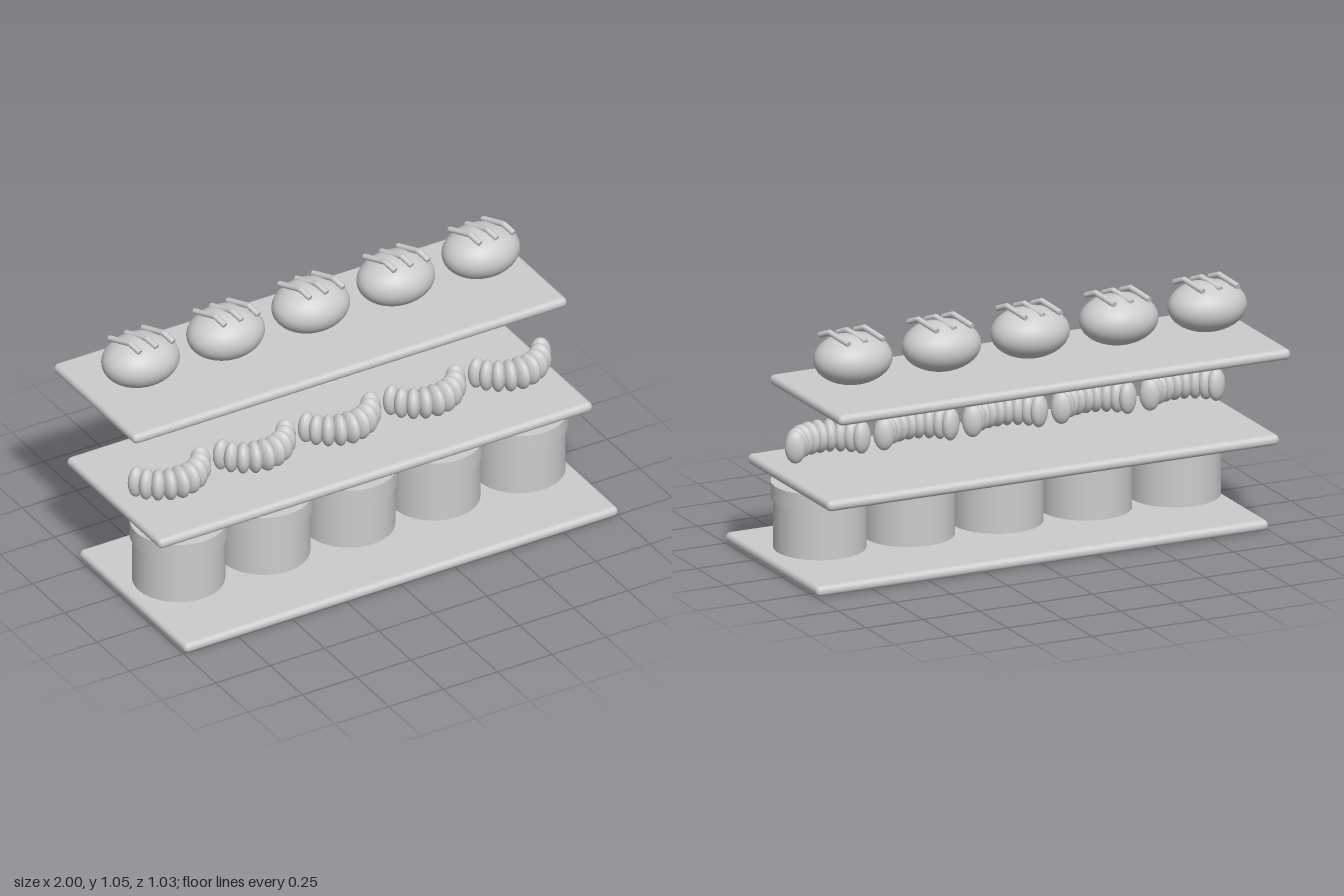
import * as THREE from 'three';
import { RoundedBoxGeometry } from 'three/addons/geometries/RoundedBoxGeometry.js';

const clay = new THREE.MeshStandardMaterial({ color: 0xcccccc });
clay.name = 'plain grey';

const SPACING = 0.392;

function part(name, geometry, parent, x = 0, y = 0, z = 0) {
  const mesh = new THREE.Mesh(geometry, clay);
  mesh.name = name;
  mesh.position.set(x, y, z);
  parent.add(mesh);
  return mesh;
}

function group(name) {
  const g = new THREE.Group();
  g.name = name;
  return g;
}

// Straight round bar between two points
function bar(name, a, b, radius, parent) {
  const dir = b.clone().sub(a);
  const mesh = part(name, new THREE.CylinderGeometry(radius, radius, dir.length(), 10), parent);
  mesh.position.copy(a).add(b).multiplyScalar(0.5);
  mesh.quaternion.setFromUnitVectors(new THREE.Vector3(0, 1, 0), dir.normalize());
}

// Cake: drum, wider icing layer and a ring of six berries
function makeCake() {
  const cake = group('cake');
  part('cakeBody', new THREE.CylinderGeometry(0.185, 0.185, 0.206, 48), cake, 0, 0.173, 0);
  part('icing', new THREE.CylinderGeometry(0.195, 0.195, 0.07, 48), cake, 0, 0.309, 0);
  const berry = new THREE.SphereGeometry(0.035, 20, 14);
  for (let i = 0; i < 6; i++) {
    const a = (i * Math.PI) / 3;
    part('berry', berry, cake, 0.118 * Math.cos(a), 0.367, 0.118 * Math.sin(a));
  }
  return cake;
}

// Croissant: flattened segments fanned along an arc that bulges forwards
function makeCroissant() {
  const croissant = group('croissant');
  const sphere = new THREE.SphereGeometry(1, 24, 16);
  const R = 0.165, half = 1.1, count = 9;
  for (let i = 0; i < count; i++) {
    const t = (i / (count - 1)) * 2 - 1;
    const a = t * half;
    const segment = part('croissantSegment', sphere, croissant,
      R * Math.sin(a), 0.524, 0.109 - R * (1 - Math.cos(a)));
    segment.rotation.y = a;
    segment.scale.set(0.031, 0.067, 0.064 - 0.022 * Math.abs(t));
  }
  return croissant;
}

// Loaf: squashed ball with three slanted, bent crust strips
function makeLoaf() {
  const loaf = group('loaf');
  const body = part('loafBody', new THREE.SphereGeometry(1, 40, 28), loaf, 0, 0.934, 0);
  body.scale.set(0.163, 0.103, 0.135);
  for (const x of [-0.072, 0.005, 0.082]) {
    const front = new THREE.Vector3(x + 0.022, 1.023, 0.08);
    const peak = new THREE.Vector3(x + 0.005, 1.044, 0.03);
    const back = new THREE.Vector3(x - 0.025, 1.02, -0.078);
    bar('crustStrip', front, peak, 0.012, loaf);
    bar('crustStrip', peak, back, 0.012, loaf);
  }
  return loaf;
}

export function createModel() {
  const model = group('bakeryDisplay');

  // Three stepped shelves: y centre, z front, z back
  const shelves = [
    ['bottomShelf', 0.0225, 0.515, -0.317],
    ['middleShelf', 0.404, 0.317, -0.414],
    ['topShelf', 0.788, 0.12, -0.515],
  ];
  for (const [name, y, front, back] of shelves) {
    part(name, new RoundedBoxGeometry(2, 0.044, front - back, 5, 0.021),
      model, 0, y, (front + back) / 2);
  }

  // Five of each item, one row per shelf
  for (let i = -2; i <= 2; i++) {
    for (const [make, z] of [[makeCake, 0.098], [makeCroissant, 0], [makeLoaf, -0.196]]) {
      const item = make();
      item.position.set(i * SPACING, 0, z);
      model.add(item);
    }
  }
  return model;
}
